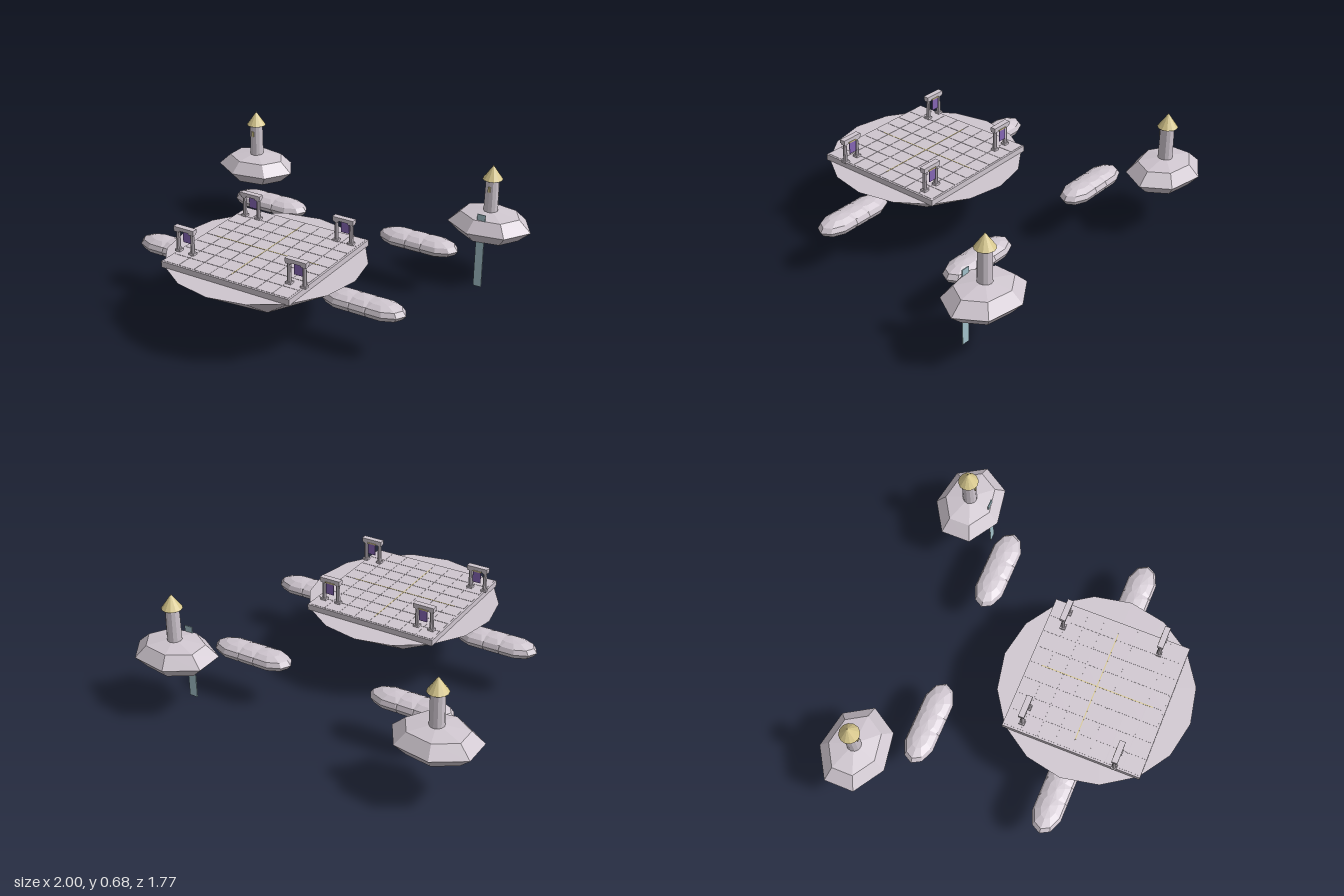
import * as THREE from 'three';

const mat = (name, color, extra = {}) => {
  const m = new THREE.MeshStandardMaterial({ color, ...extra });
  m.name = name;
  return m;
};

export function createModel() {
  const stone = mat('paleStone', 0xcfc6cf, { flatShading: true });
  const gold = mat('paleGold', 0xd8c88e, { flatShading: true });
  const purple = mat('purpleCloth', 0x8566b5, { side: THREE.DoubleSide });
  const water = mat('water', 0xa3c2cb, { side: THREE.DoubleSide });

  const root = new THREE.Group();
  root.name = 'floatingIslands';

  const add = (parent, name, geo, material, x = 0, y = 0, z = 0) => {
    const m = new THREE.Mesh(geo, material);
    m.name = name;
    m.position.set(x, y, z);
    parent.add(m);
    return m;
  };
  const group = (name, x, y, z) => {
    const g = new THREE.Group();
    g.name = name;
    g.position.set(x, y, z);
    root.add(g);
    return g;
  };
  const box = (w, h, d) => new THREE.BoxGeometry(w, h, d);

  // Main island: upside-down cone carrying a square plaza
  const main = group('mainIsland', -0.015, 0, 0.355);
  add(main, 'islandRock', new THREE.CylinderGeometry(0.528, 0, 0.336, 16), stone, 0, 0.213, 0);
  add(main, 'plaza', box(0.768, 0.034, 0.768), stone, 0, 0.395, 0);

  // Paving tiles with narrow joints
  const n = 8, pitch = 0.75 / n;
  for (let i = 0; i < n; i++) {
    for (let j = 0; j < n; j++) {
      add(main, 'pavingTile', box(pitch - 0.003, 0.002, pitch - 0.003), stone,
        (i - (n - 1) / 2) * pitch, 0.4125, (j - (n - 1) / 2) * pitch);
    }
  }

  // Gold inlay cross
  add(main, 'inlayAcross', box(0.63, 0.003, 0.005), gold, 0, 0.4135, 0);
  add(main, 'inlayAlong', box(0.005, 0.003, 0.63), gold, 0, 0.4133, 0);

  // Gateways with hanging banners
  const gateway = (x, z) => {
    const g = group('gateway', x, 0.413, z);
    for (const s of [-1, 1]) {
      add(g, 'columnBase', box(0.032, 0.012, 0.03), stone, s * 0.044, 0.006, 0);
      add(g, 'column', new THREE.CylinderGeometry(0.01, 0.012, 0.11, 8), stone, s * 0.044, 0.065, 0);
      add(g, 'columnCapital', box(0.03, 0.01, 0.028), stone, s * 0.044, 0.117, 0);
    }
    add(g, 'lintel', box(0.123, 0.02, 0.032), stone, 0, 0.131, 0);
    add(g, 'banner', box(0.048, 0.066, 0.004), purple, 0, 0.082, -0.014);
    add(g, 'bannerRod', box(0.054, 0.007, 0.008), gold, 0, 0.117, -0.014);
  };
  gateway(-0.302, 0.065);
  gateway(0.275, 0.065);
  gateway(-0.35, 0.595);
  gateway(0.323, 0.595);

  // Small tower islands
  for (const x of [-0.785, 0.757]) {
    const g = group('towerIsland', x, 0, -0.7);
    const rock = add(g, 'towerRock', new THREE.SphereGeometry(1, 7, 4).rotateY(Math.PI), stone, 0, 0.335, 0);
    rock.scale.set(0.242, 0.09, 0.19);
    add(g, 'tower', new THREE.CylinderGeometry(0.037, 0.04, 0.2, 12), stone, 0, 0.505, 0);
    add(g, 'towerRoof', new THREE.ConeGeometry(0.056, 0.08, 12), gold, 0, 0.643, 0);
    add(g, 'towerWindow', box(0.014, 0.03, 0.008), gold, 0, 0.552, 0.039);
  }

  // Waterfall falling from the left tower island
  add(root, 'waterfall', box(0.048, 0.435, 0.005), water, 0.757, 0.2175, -0.581);

  // Clouds: three overlapping faceted puffs each
  const puff = new THREE.SphereGeometry(1, 10, 6);
  for (const [x, z] of [[-0.495, -0.415], [0.467, -0.415], [-0.592, 0.355], [0.564, 0.355]]) {
    const g = group('cloud', x, 0.267, z);
    for (const i of [-1, 0, 1]) {
      add(g, 'cloudPuff', puff, stone, i * 0.094, 0, 0).scale.set(0.144, 0.05, 0.085);
    }
  }
  return root;
}
